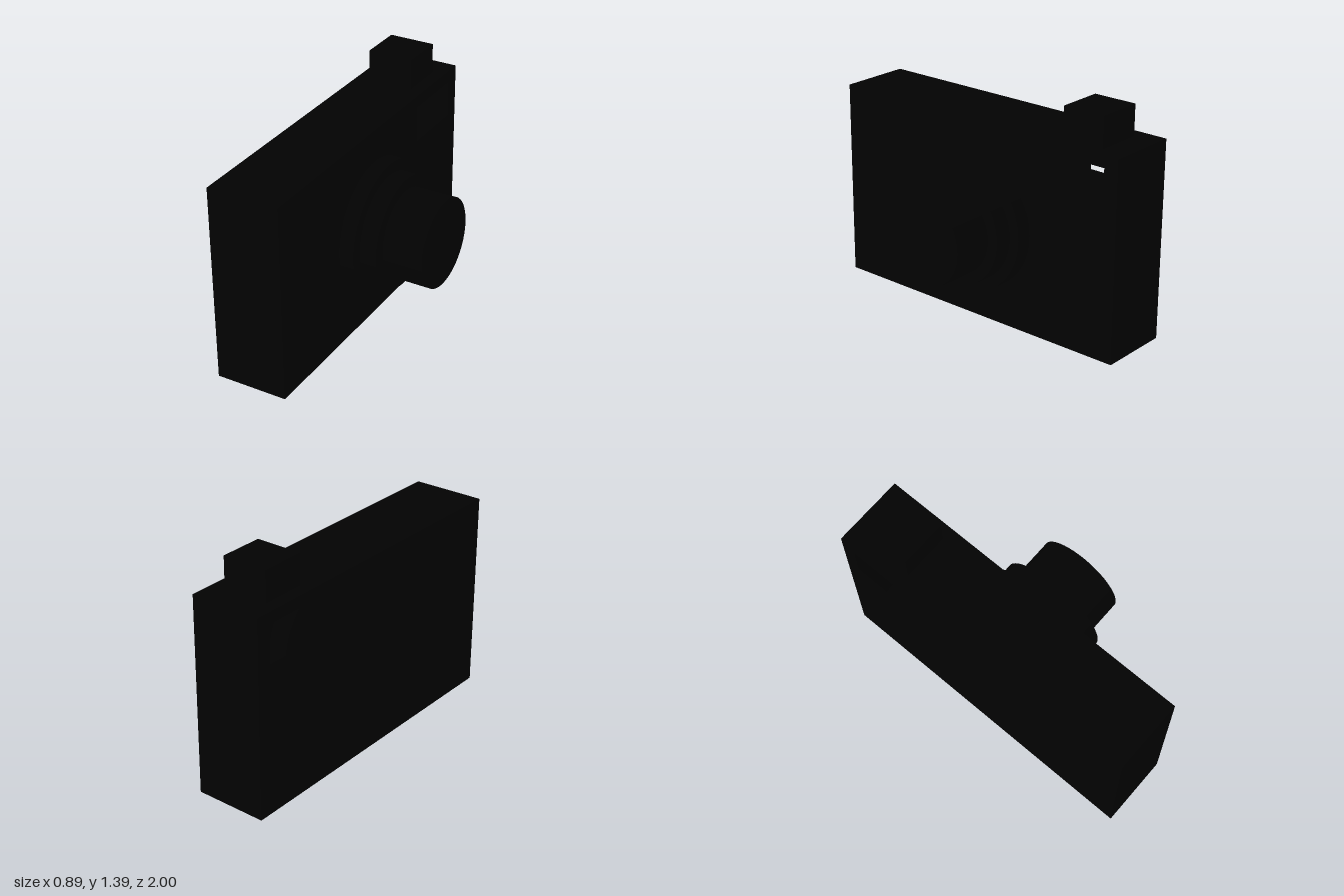
import * as THREE from 'three';

const mat = new THREE.MeshStandardMaterial({ color: 0x020202 });
const shellMat = new THREE.MeshStandardMaterial({ color: 0x020202, side: THREE.DoubleSide });

// Body extents; the lens points along +x
const BACK = -0.445, FRONT = -0.005, HEIGHT = 1.21, HALF = 1;
const DEPTH = FRONT - BACK, MID = (FRONT + BACK) / 2;
const WINDOW = { z0: -0.91, z1: -0.5, y0: 0.91, y1: 1.14 };
const LENS_Y = 0.607;

function add(group, name, geometry, material = mat) {
  const mesh = new THREE.Mesh(geometry, material);
  mesh.name = name;
  group.add(mesh);
  return mesh;
}

// Counter-clockwise or clockwise rectangle path
function rectangle(path, x0, y0, x1, y1) {
  path.moveTo(x0, y0);
  path.lineTo(x1, y0);
  path.lineTo(x1, y1);
  path.lineTo(x0, y1);
  path.closePath();
  return path;
}

// Large body face with the viewfinder opening; dir = 1 faces +x, -1 faces -x
function windowPanel(dir) {
  const shape = rectangle(new THREE.Shape(), -HALF, 0, HALF, HEIGHT);
  const { z0, z1, y0, y1 } = WINDOW;
  shape.holes.push(rectangle(new THREE.Path(), -dir * z0, y0, -dir * z1, y1));
  return new THREE.ShapeGeometry(shape).rotateY(dir * Math.PI / 2);
}

export function createModel() {
  const model = new THREE.Group();
  model.name = 'camera';

  // Hollow body shell
  const body = new THREE.Group();
  body.name = 'body';
  model.add(body);
  add(body, 'frontPanel', windowPanel(1), shellMat).position.x = FRONT;
  add(body, 'backPanel', windowPanel(-1), shellMat).position.x = BACK;
  for (const s of [1, -1]) {
    const end = new THREE.PlaneGeometry(DEPTH, HEIGHT);
    if (s < 0) end.rotateY(Math.PI);
    add(body, s > 0 ? 'nearEndPanel' : 'farEndPanel', end, shellMat)
      .position.set(MID, HEIGHT / 2, s * HALF);
    const cap = new THREE.PlaneGeometry(DEPTH, HALF * 2).rotateX(-s * Math.PI / 2);
    add(body, s > 0 ? 'topPanel' : 'bottomPanel', cap, shellMat)
      .position.set(MID, s > 0 ? HEIGHT : 0, 0);
  }

  // Stepped lens barrel: each tube starts inside the body
  const lens = new THREE.Group();
  lens.name = 'lens';
  lens.position.set(0, LENS_Y, -0.003);
  model.add(lens);
  const tubes = [
    ['lensBaseRing', 0.407, 0.088],
    ['lensMiddleRing', 0.34, 0.195],
    ['lensBarrel', 0.27, 0.445],
  ];
  const inner = -0.13;
  for (const [name, radius, end] of tubes) {
    const tube = new THREE.CylinderGeometry(radius, radius, end - inner, 64);
    add(lens, name, tube.rotateZ(-Math.PI / 2)).position.x = (end + inner) / 2;
  }

  // Shutter button, sunk slightly through the top
  const bottom = 1.15, top = 1.395;
  add(model, 'shutterButton', new THREE.BoxGeometry(0.283, top - bottom, 0.27))
    .position.set(-0.225, (top + bottom) / 2, -0.707);

  return model;
}
